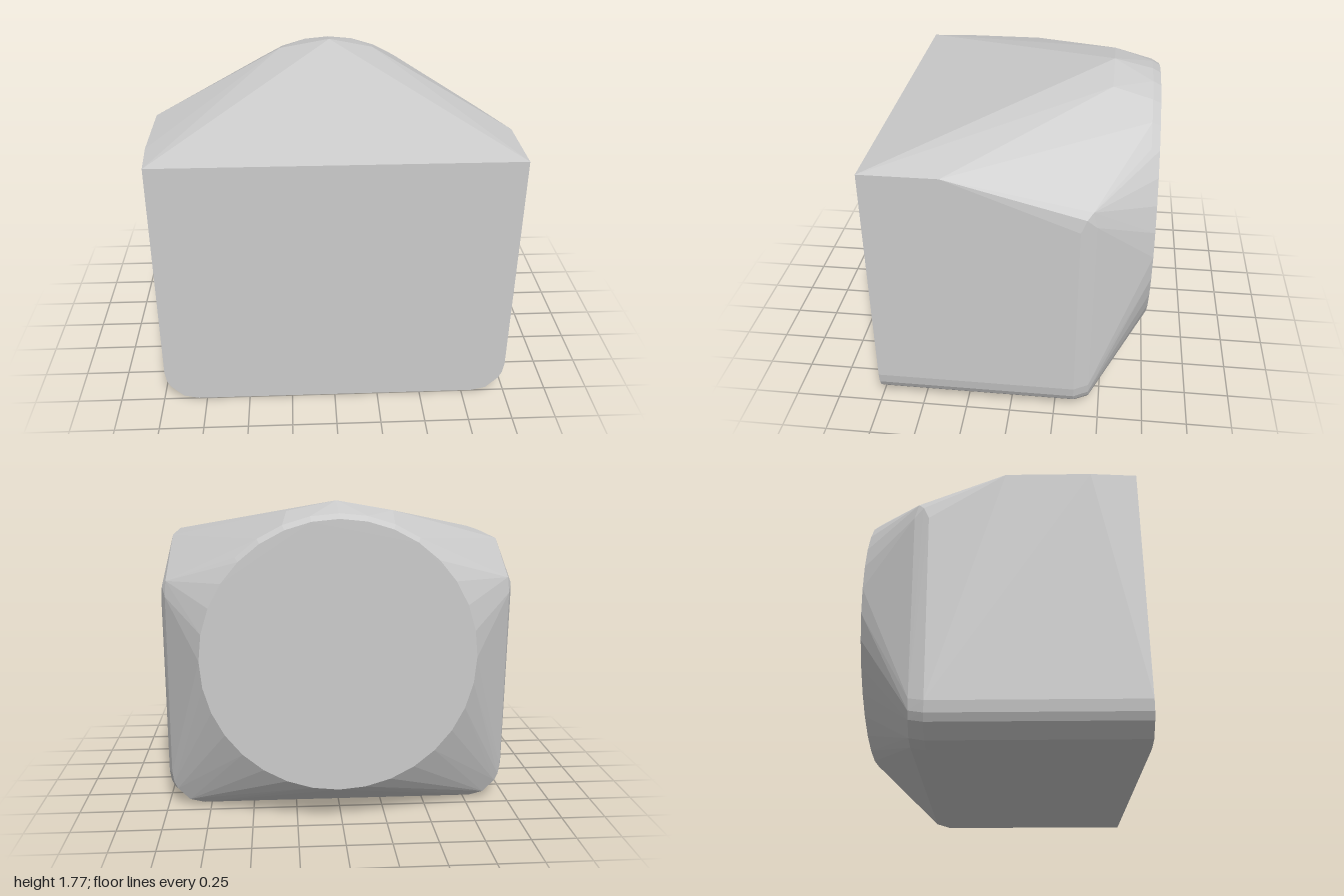
import * as THREE from 'three';
import { ConvexGeometry } from 'three/addons/geometries/ConvexGeometry.js';

export function createModel() {
  const group = new THREE.Group();
  const points = [];
  const add = (x, y, z) => points.push(new THREE.Vector3(x, y, z));

  // Rounded lower corners, swept from the front face to the rear shoulder
  const corner = [[0.81, 0], [0.895, 0.02], [0.965, 0.09], [0.985, 0.13], [0.995, 0.19]];
  for (const [x, y] of corner) {
    for (const side of [1, -1]) {
      const px = side > 0 ? x : -x + 0.01;
      add(px, y, 0.75);
      add(px, y, -0.36);
      add(px * 0.975, y + 0.02, -0.44);
    }
  }

  // Upper edge of the front face
  add(1, 1.5, 0.75);
  add(-0.98, 1.5, 0.75);

  // Side walls: upper edge, then the slope down to the rear shoulder
  add(1, 1.5, 0.33);
  add(-1, 1.5, 0.5);
  add(-1, 1.5, 0.04);
  for (const side of [1, -1]) {
    add(side * 0.995, 1.23, -0.37);
    add(side * 0.985, 1.3, -0.4);
    add(side * 0.96, 1.335, -0.43);
    add(side * 0.965, 1.25, -0.45);
  }

  // Crown of the sloping roof
  add(0.02, 1.775, -0.49);
  for (const side of [1, -1]) add(side * 0.29, 1.72, -0.49);

  // Round rear face with a softened rim
  const segments = 32;
  for (const [radius, z] of [[0.745, -0.75], [0.77, -0.705]]) {
    for (let i = 0; i < segments; i++) {
      const a = (i / segments) * Math.PI * 2;
      add(0.02 + radius * Math.cos(a), 0.955 + radius * Math.sin(a), z);
    }
  }

  const body = new THREE.Mesh(
    new ConvexGeometry(points),
    new THREE.MeshStandardMaterial({ color: 0xcccccc, flatShading: true })
  );
  body.name = 'body';
  group.add(body);
  return group;
}
